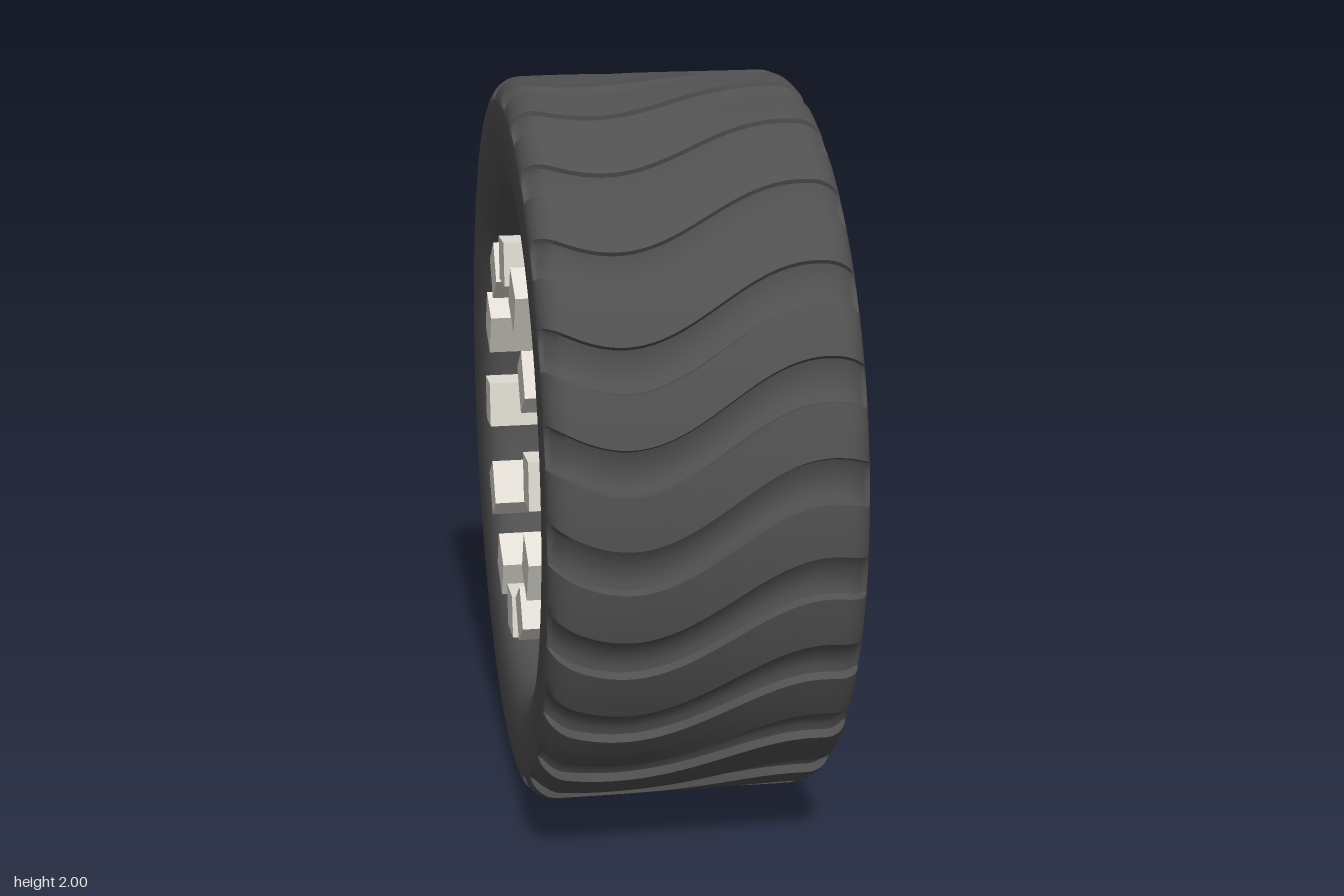
import * as THREE from 'three';
import { toCreasedNormals } from 'three/addons/utils/BufferGeometryUtils.js';

const rubber = new THREE.MeshStandardMaterial({ color: 0x505050 });
const plastic = new THREE.MeshStandardMaterial({ color: 0xe2ded5 });

// Everything is built along local z (the axle), then turned so the axle lies on x.
const LUGS = 25, DEPTH = 0.032, PHASE = 0.11;
// One tread period: [fraction of pitch, groove depth 0..1]
const GROOVE = [[0, 0], [0.18, 0], [0.36, 0], [0.54, 0], [0.56, 0.7], [0.64, 0.95], [0.74, 1], [0.84, 0.85], [0.93, 0.6], [0.985, 0.35]];

// Closed tire section as [axle position, radius], from one bead to the other
function tireSection() {
  const half = [[0.2, 0.565], [0.22, 0.68], [0.33, 0.688], [0.365, 0.703], [0.388, 0.735], [0.4, 0.785], [0.405, 0.85]];
  for (let i = 0; i <= 8; i++) {
    const a = (i / 8) * Math.PI / 2;
    half.push([0.33 + 0.075 * Math.cos(a), 0.925 + 0.075 * Math.sin(a)]);
  }
  const section = half.map(([x, r]) => [-x, r]);
  for (let i = 1; i < 26; i++) section.push([-0.33 + 0.66 * i / 26, 1]);
  return section.concat(half.slice().reverse());
}

function tireGeometry() {
  const section = tireSection(), n = section.length, m = LUGS * GROOVE.length;
  const pos = [], index = [];
  for (let j = 0; j < m; j++) {
    const [u, d] = GROOVE[j % GROOVE.length];
    const base = PHASE + (Math.floor(j / GROOVE.length) + u) * 2 * Math.PI / LUGS;
    for (const [x, r] of section) {
      // the rows follow the S-shaped grooves, which fade out at the sidewall
      const twist = 0.105 * Math.sin(2 * Math.PI * (x - 0.05)) * THREE.MathUtils.smoothstep(r, 0.57, 0.9);
      const R = r - DEPTH * d * THREE.MathUtils.smoothstep(r, 0.935, 0.975);
      const t = base + twist;
      pos.push(-R * Math.cos(t), R * Math.sin(t), x);
    }
  }
  for (let j = 0; j < m; j++) {
    const k = (j + 1) % m;
    for (let i = 0; i < n; i++) {
      const p = (i + 1) % n;
      const a = j * n + i, b = j * n + p, c = k * n + p, e = k * n + i;
      index.push(a, b, c, a, c, e);
    }
  }
  const g = new THREE.BufferGeometry();
  g.setAttribute('position', new THREE.Float32BufferAttribute(pos, 3));
  g.setIndex(index);
  return toCreasedNormals(g, 0.6);
}

// Extrudes a shape between two axle positions
function extrude(shape, from, to) {
  const g = new THREE.ExtrudeGeometry(shape, { depth: to - from, bevelEnabled: false, curveSegments: 48 });
  g.translate(0, 0, from);
  return toCreasedNormals(g, 0.5);
}

function ring(outer, inner) {
  const s = new THREE.Shape().absarc(0, 0, outer, 0, Math.PI * 2);
  s.holes.push(new THREE.Path().absarc(0, 0, inner, 0, Math.PI * 2));
  return s;
}

// Axle socket: flat on one side, rounded towards the slot
const socket = (path) => path
  .lineTo(0.065, 0.025).quadraticCurveTo(0.045, 0.065, 0.005, 0.068)
  .lineTo(-0.043, 0.06).lineTo(-0.043, -0.06).lineTo(0.005, -0.068)
  .quadraticCurveTo(0.045, -0.065, 0.065, -0.025);

export function createModel() {
  const model = new THREE.Group();
  const wheel = new THREE.Group();
  wheel.name = 'wheel';
  wheel.rotation.y = Math.PI / 2;
  wheel.position.y = 1;
  model.add(wheel);

  const add = (name, geometry, material, parent = wheel) => {
    const mesh = new THREE.Mesh(geometry, material);
    mesh.name = name;
    parent.add(mesh);
    return mesh;
  };

  add('tire', tireGeometry(), rubber);

  const rim = new THREE.Group();
  rim.name = 'rim';
  wheel.add(rim);

  // Raised outer rim ring and the recessed disc with its keyhole
  add('rimRing', extrude(ring(0.57, 0.478), 0.16, 0.215), plastic, rim);
  const disc = new THREE.Shape().absarc(0, 0, 0.48, 0, Math.PI * 2);
  const keyhole = new THREE.Path();
  keyhole.moveTo(0.34, 0.025);
  socket(keyhole);
  keyhole.lineTo(0.34, -0.025).closePath();
  disc.holes.push(keyhole);
  add('rimDisc', extrude(disc, 0.16, 0.197), plastic, rim);
  add('rimBarrel', extrude(ring(0.56, 0.5), 0, 0.17), plastic, rim);

  // Slotted hub tube
  const hub = new THREE.Shape();
  const slotAngle = Math.asin(0.025 / 0.155);
  hub.moveTo(0.153, 0.025);
  socket(hub);
  hub.lineTo(0.153, -0.025);
  hub.absarc(0, 0, 0.155, -slotAngle, slotAngle, true);
  add('hub', extrude(hub, -0.15, 0.215), plastic, rim);

  // Bars round the rim and short posts round the hub, standing on the disc's inner face
  const bars = (name, count, phase, radius, radial, width, tip) => {
    const g = new THREE.BoxGeometry(radial, width, 0.17 - tip);
    for (let i = 0; i < count; i++) {
      const a = phase + i * 2 * Math.PI / count;
      const bar = add(name, g, plastic, rim);
      bar.position.set(-radius * Math.cos(a), radius * Math.sin(a), (0.17 + tip) / 2);
      bar.rotation.z = -a;
    }
  };
  bars('rimBar', 12, 0.07, 0.5, 0.12, 0.13, -0.405);
  bars('hubPost', 5, 1.36, 0.29, 0.08, 0.11, -0.13);

  return model;
}
